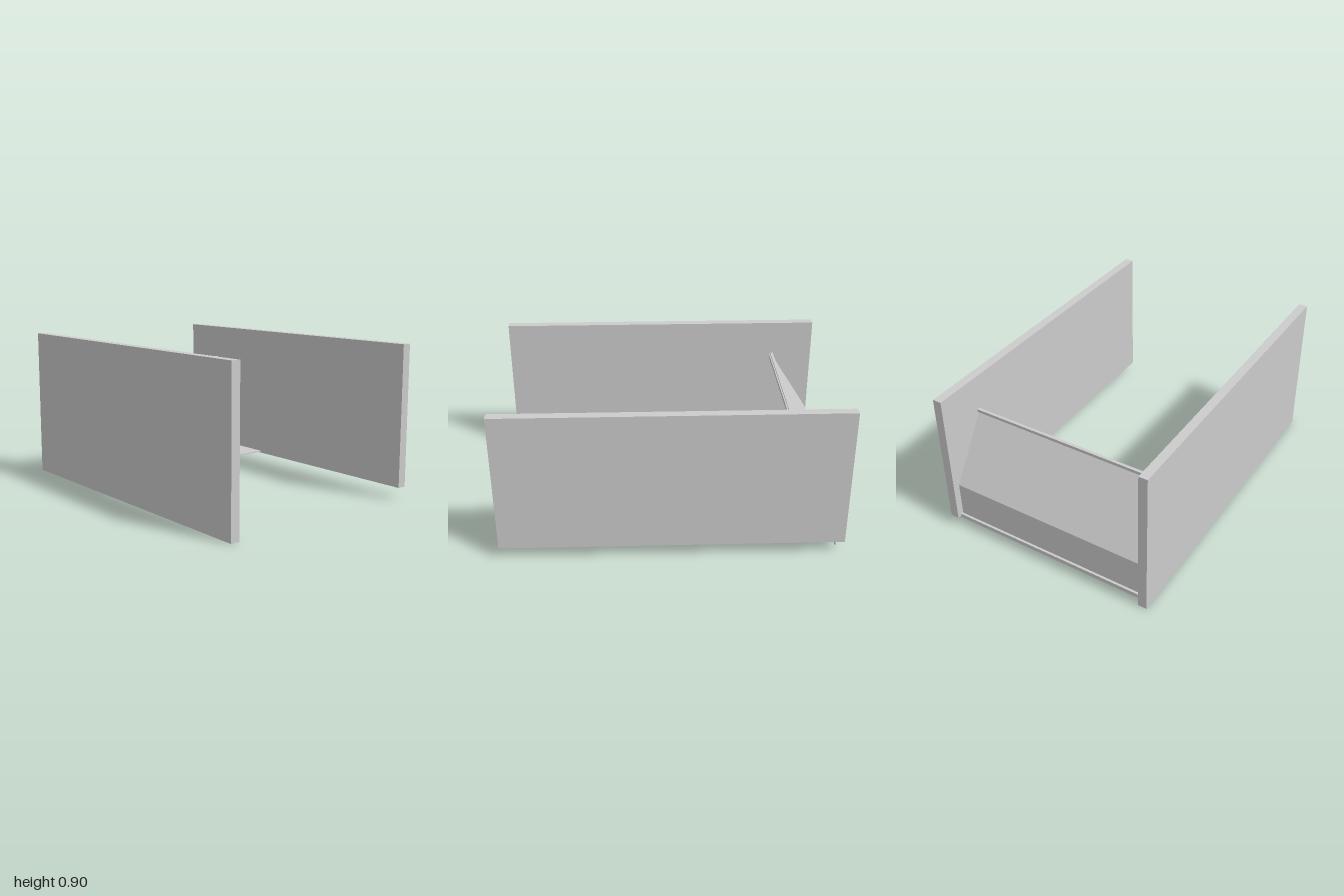
import * as THREE from 'three';

export function createModel() {
  const group = new THREE.Group();
  const material = new THREE.MeshStandardMaterial({ color: 0xcccccc, flatShading: true });

  const add = (name, geometry) => {
    const mesh = new THREE.Mesh(geometry, material);
    mesh.name = name;
    group.add(mesh);
    return mesh;
  };

  // Box given by its low and high corner on each axis
  const board = (name, [x0, x1], [y0, y1], [z0, z1]) => {
    const mesh = add(name, new THREE.BoxGeometry(x1 - x0, y1 - y0, z1 - z0));
    mesh.position.set((x0 + x1) / 2, (y0 + y1) / 2, (z0 + z1) / 2);
  };

  // Side panels, slightly offset from each other
  board('rightSidePanel', [-0.663, -0.61], [0, 0.903], [-0.972, 1]);
  board('leftSidePanel', [0.608, 0.661], [0.072, 0.903], [-1, 0.972]);

  // Floor shelf with a hanging strip under its rear edge
  board('floorShelf', [-0.61, 0.608], [0.077, 0.085], [-0.975, -0.238]);
  board('rearStrip', [-0.61, 0.638], [0.035, 0.077], [-0.956, -0.949]);

  // Upright divider passing through the floor
  board('divider', [-0.425, 0.406], [0.057, 0.256], [-0.495, -0.456]);

  // Low rear wall
  board('rearWall', [-0.61, 0.603], [0.085, 0.3], [-0.961, -0.953]);

  // Panel leaning forward from the top of the rear wall
  const profile = new THREE.Shape([
    new THREE.Vector2(0.961, 0.3),
    new THREE.Vector2(0.951, 0.3),
    new THREE.Vector2(0.709, 0.672),
    new THREE.Vector2(0.719, 0.677),
  ]);
  const slope = add('slopedPanel',
    new THREE.ExtrudeGeometry(profile, { depth: 1.213, bevelEnabled: false }));
  slope.rotation.y = Math.PI / 2;
  slope.position.x = -0.61;

  // Rail along the top edge of the sloped panel
  board('topRail', [-0.61, 0.608], [0.674, 0.692], [-0.726, -0.708]);
  board('topRailLip', [-0.61, 0.608], [0.664, 0.684], [-0.708, -0.7]);

  return group;
}
